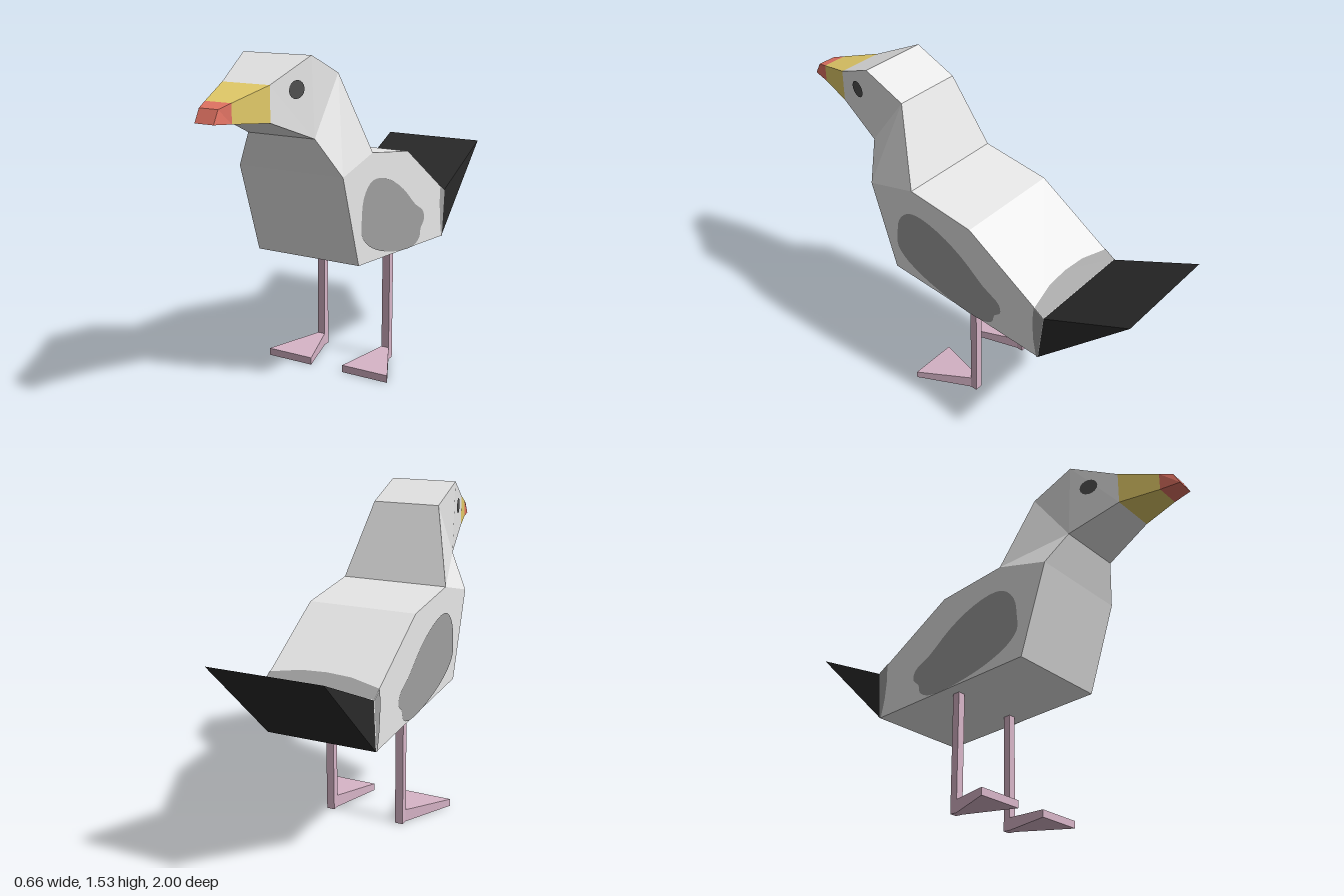
import * as THREE from 'three';

const paint = (name, color, side = THREE.FrontSide) => {
  const m = new THREE.MeshStandardMaterial({ color, side });
  m.name = name;
  return m;
};

// Loft four-sided sections from back to front.
// Each section: [topZ, topY, bottomZ, bottomY, minX, maxX]
function loft(sections) {
  const rings = sections.map(([tz, ty, bz, by, x0, x1]) =>
    [[x0, ty, tz], [x1, ty, tz], [x1, by, bz], [x0, by, bz]]);
  const pos = [];
  const quad = (a, b, c, d) => pos.push(...a, ...b, ...c, ...a, ...c, ...d);
  for (let k = 0; k < rings.length - 1; k++) {
    const s = rings[k], t = rings[k + 1];
    for (let i = 0; i < 4; i++) {
      const j = (i + 1) % 4;
      quad(t[i], t[j], s[j], s[i]);
    }
  }
  const back = rings[0], front = rings[rings.length - 1];
  quad(...back);
  quad(front[3], front[2], front[1], front[0]);
  const g = new THREE.BufferGeometry();
  g.setAttribute('position', new THREE.Float32BufferAttribute(pos, 3));
  g.computeVertexNormals();
  return g;
}

// Flat painted marking: a 2D outline placed on a surface by a mapping rule
function patch(points, place) {
  const g = new THREE.ShapeGeometry(new THREE.Shape(points));
  const p = g.attributes.position;
  for (let i = 0; i < p.count; i++) p.setXYZ(i, ...place(p.getX(i), p.getY(i)));
  g.computeVertexNormals();
  return g;
}

const v2 = (list) => list.map(([a, b]) => new THREE.Vector2(a, b));
const smoothLoop = (list) => {
  const curve = new THREE.CatmullRomCurve3(
    list.map(([a, b]) => new THREE.Vector3(a, b, 0)), true);
  return curve.getPoints(48).slice(0, -1).map((p) => new THREE.Vector2(p.x, p.y));
};

export function createModel() {
  const group = new THREE.Group();
  group.name = 'seabird';
  const white = paint('white feathers', 0xf0f0f0);
  const grey = paint('grey feathers', 0x9f9f9f, THREE.DoubleSide);
  const black = paint('black tail', 0x2a2a2a);
  const yellow = paint('yellow beak', 0xe4cc69);
  const red = paint('red beak tip', 0xe47464);
  const pink = paint('pink legs', 0xd8b5c8);
  const dark = paint('dark eye', 0x505050, THREE.DoubleSide);

  const add = (name, geometry, material) => {
    const mesh = new THREE.Mesh(geometry, material);
    mesh.name = name;
    group.add(mesh);
  };

  const W = 0.265, H = 0.168; // half widths of body and head
  const sec = (tz, ty, bz, by, w) => [tz, ty, bz, by, -w, w];
  const rump = sec(-0.585, 0.765, -0.565, 0.53, W);
  const neckBase = sec(0.17, 1.085, 0.425, 1.02, W);
  const nape = sec(0.3, 1.44, 0.49, 1.185, H);
  const crown = sec(0.51, 1.53, 0.49, 1.185, H);
  const beakBase = sec(0.73, 1.43, 0.73, 1.28, 0.115);
  const beakMid = sec(0.91, 1.378, 0.91, 1.297, 0.063);
  const beakEnd = sec(0.97, 1.36, 1.0, 1.305, 0.045);

  // Body, neck, head, beak and wedge tail
  add('body', loft([rump, sec(-0.17, 1.035, 0.29, 0.6, W), neckBase]), white);
  add('neck', loft([neckBase, nape]), white);
  add('head', loft([nape, crown, beakBase]), white);
  add('beak', loft([beakBase, beakMid]), yellow);
  add('beakTip', loft([beakMid, beakEnd]), red);
  add('tail', loft([sec(-1, 0.955, -1, 0.955, W), rump]), black);

  // Curved grey band across the rump
  const bandTop = v2([[-W, -0.585], [W, -0.585], [W, -0.535], [0.12, -0.506],
    [0, -0.5], [-0.12, -0.506], [-W, -0.535]]);
  add('rumpBandTop', patch(bandTop,
    (x, z) => [x, 0.769 + (z + 0.585) * 0.6506, z]), grey);

  const wing = smoothLoop([[0.27, 0.8], [0.255, 0.89], [0.2, 0.95], [0.13, 0.963],
    [0, 0.93], [-0.13, 0.86], [-0.25, 0.765], [-0.34, 0.71], [-0.35, 0.665],
    [-0.315, 0.63], [-0.305, 0.59], [-0.25, 0.562], [-0.135, 0.566],
    [-0.02, 0.587], [0.11, 0.625], [0.22, 0.68], [0.27, 0.735]]);
  const bandSide = v2([[-0.585, 0.765], [-0.565, 0.53], [-0.556, 0.531],
    [-0.537, 0.62], [-0.528, 0.72], [-0.532, 0.799]]);
  const eye = new THREE.EllipseCurve(0.595, 1.4, 0.042, 0.038)
    .getPoints(16).slice(0, -1);

  for (const s of [1, -1]) {
    const side = s > 0 ? 'left' : 'right';
    const onBody = (z, y) => [s * (W + 0.003), y, z];
    add(side + 'Wing', patch(wing, onBody), grey);
    add(side + 'RumpBand', patch(bandSide, onBody), grey);

    // Eye lies on the tapering cheek
    add(side + 'Eye', patch(eye,
      (z, y) => [s * (0.173 - (z - 0.502) * 0.2325), y, z]), dark);

    // Square leg and splayed foot
    const leg = new THREE.BoxGeometry(0.039, 0.53, 0.035);
    leg.translate(s * 0.183, 0.315, -0.1375);
    add(side + 'Leg', leg, pink);
    const span = (a, b) => (s > 0 ? [a, b] : [-b, -a]);
    add(side + 'Foot', loft([
      [-0.155, 0.06, -0.155, 0, ...span(0.1635, 0.2025)],
      [-0.12, 0.06, -0.12, 0, ...span(0.1635, 0.2025)],
      [0.13, 0.035, 0.13, 0, ...span(0.087, 0.328)],
    ]), pink);
  }
  return group;
}
